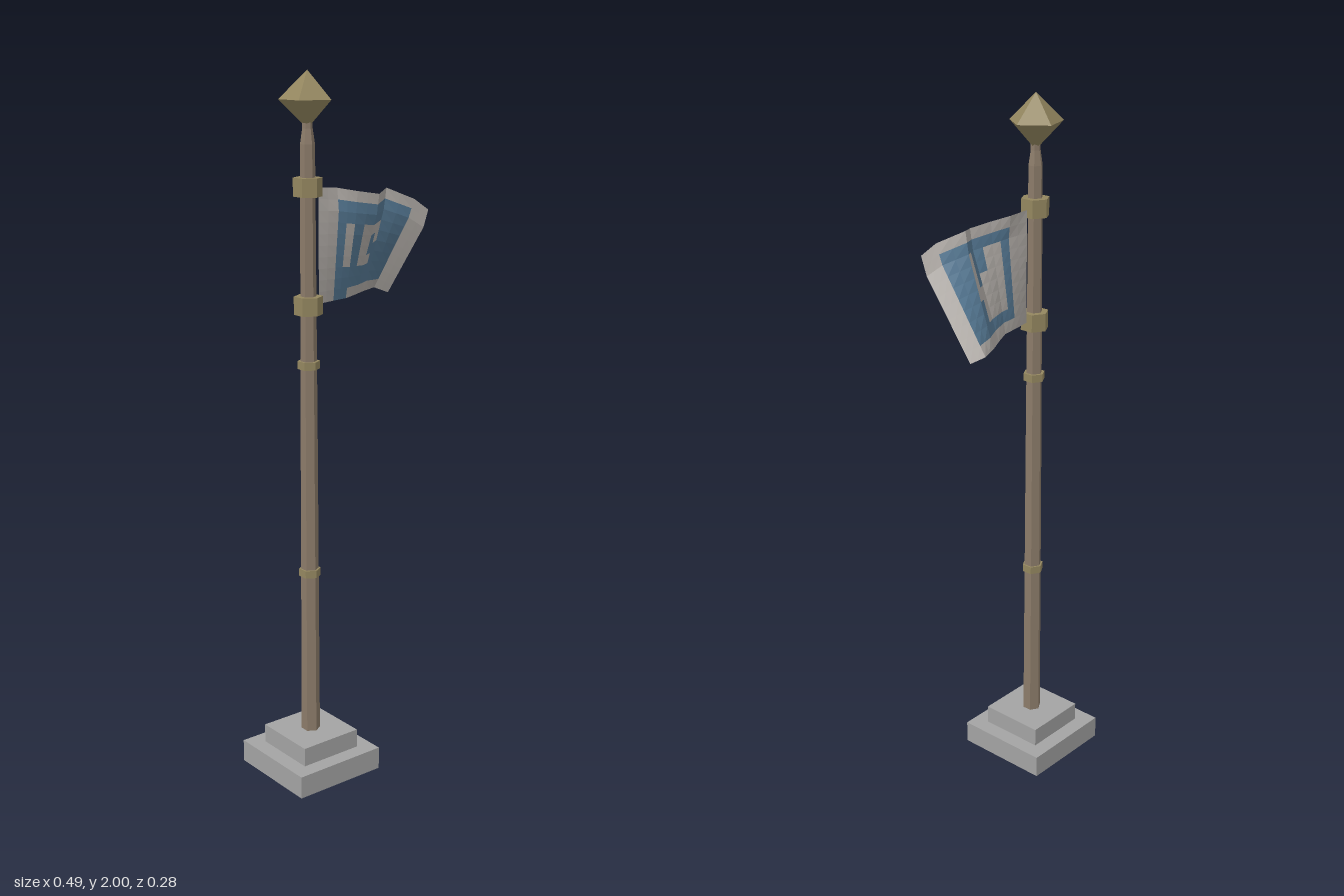
import * as THREE from 'three';

const material = (color) => new THREE.MeshStandardMaterial({ color, flatShading: true });
const POLE_X = -0.105;

// Cloth cross-sections, one per fold, from the pole to the free end:
// x, top y, bottom y, then z at the top edge, below the hem and at the lower edge
const FOLDS = [
  [-0.07, 1.695, 1.38, 0, 0, 0],
  [-0.01, 1.69, 1.38, 0.005, 0.012, -0.012],
  [0.04, 1.68, 1.38, 0.03, 0.026, -0.02],
  [0.1, 1.67, 1.38, 0.05, 0.04, -0.05],
  [0.155, 1.68, 1.38, 0.015, 0.004, -0.08],
  [0.213, 1.65, 1.38, 0.065, 0.043, -0.105],
  [0.246, 1.62, 1.365, 0.087, 0.068, -0.082],
];

// Dyed cells of each side of the cloth (# = blue), columns run away from the pole
const FRONT_DYE = [
  '............',
  '..########..',
  '..########..',
  '..#.#...##..',
  '..#.#.#.##..',
  '..#.#.####..',
  '..#.#..###..',
  '..########..',
  '..########..',
  '..##........',
];
const BACK_DYE = [
  '............',
  '..########..',
  '..#..##.##..',
  '..#..##.##..',
  '..#...#.##..',
  '..#.....##..',
  '..#....###..',
  '..#....###..',
  '..########..',
  '............',
];

const COLS = 12, ROWS = 10, HEM = 0.2;

function clothPoint(col, row, offset) {
  const f = (col / COLS) * (FOLDS.length - 1);
  const i = Math.min(Math.floor(f), FOLDS.length - 2);
  const [x, top, bottom, zTop, zFold, zLow] = FOLDS[i].map((a, k) =>
    THREE.MathUtils.lerp(a, FOLDS[i + 1][k], f - i));
  const v = row / ROWS;
  const z = v < HEM
    ? THREE.MathUtils.lerp(zTop, zFold, v / HEM)
    : THREE.MathUtils.lerp(zFold, zLow, (v - HEM) / (1 - HEM));
  return [x, THREE.MathUtils.lerp(top, bottom, v), z + offset];
}

// One side of the cloth, keeping only the cells of the wanted dye
function clothSide(dye, wanted, front) {
  const positions = [];
  const offset = front ? 0.001 : -0.001;
  for (let r = 0; r < ROWS; r++) {
    for (let c = 0; c < COLS; c++) {
      if (dye[r][c] !== wanted) continue;
      const a = clothPoint(c, r, offset);
      const b = clothPoint(c, r + 1, offset);
      const d = clothPoint(c + 1, r + 1, offset);
      const e = clothPoint(c + 1, r, offset);
      const corners = front ? [a, b, d, a, d, e] : [a, d, b, a, e, d];
      positions.push(...corners.flat());
    }
  }
  const geometry = new THREE.BufferGeometry();
  geometry.setAttribute('position', new THREE.Float32BufferAttribute(positions, 3));
  geometry.computeVertexNormals();
  return geometry;
}

export function createModel() {
  const model = new THREE.Group();
  const stone = material(0xa3a3a3);
  const wood = material(0x8b7b69);
  const brass = material(0x93865f);
  const cloth = material(0xb0aba6);
  const dye = material(0x557893);

  const add = (name, geometry, mat, x = 0, y = 0, parent = model) => {
    const mesh = new THREE.Mesh(geometry, mat);
    mesh.name = name;
    mesh.position.set(x, y, 0);
    parent.add(mesh);
  };

  // Stepped plinth
  add('lowerPlinth', new THREE.BoxGeometry(0.285, 0.066, 0.285), stone, POLE_X, 0.033);
  add('upperPlinth', new THREE.BoxGeometry(0.192, 0.056, 0.194), stone, POLE_X, 0.093);

  // Hexagonal tapering pole
  const profile = [[0, 0.12], [0.027, 0.12], [0.024, 1.0], [0.02, 1.81], [0.014, 1.85], [0.014, 1.88]];
  add('pole', new THREE.LatheGeometry(profile.map(([r, y]) => new THREE.Vector2(r, y)), 6), wood, POLE_X);

  // Thin bands, and the thicker rings that hold the flag
  for (const y of [0.61, 1.215])
    add('poleBand', new THREE.CylinderGeometry(0.031, 0.031, 0.022, 6), brass, POLE_X, y);
  for (const y of [1.698, 1.38])
    add('flagRing', new THREE.CylinderGeometry(0.04, 0.04, 0.05, 6), brass, POLE_X, y);

  // Five-sided double-pyramid finial
  const gem = [[0, 1.85], [0.076, 1.925], [0, 2]].map(([r, y]) => new THREE.Vector2(r, y));
  add('finial', new THREE.LatheGeometry(gem, 5, Math.PI / 2), brass, POLE_X);

  // Twisted flag with a dyed pattern on both sides
  const flag = new THREE.Group();
  flag.name = 'flag';
  model.add(flag);
  for (const [side, pattern, front] of [['Front', FRONT_DYE, true], ['Back', BACK_DYE, false]]) {
    add('cloth' + side, clothSide(pattern, '.', front), cloth, 0, 0, flag);
    add('dye' + side, clothSide(pattern, '#', front), dye, 0, 0, flag);
  }
  return model;
}
